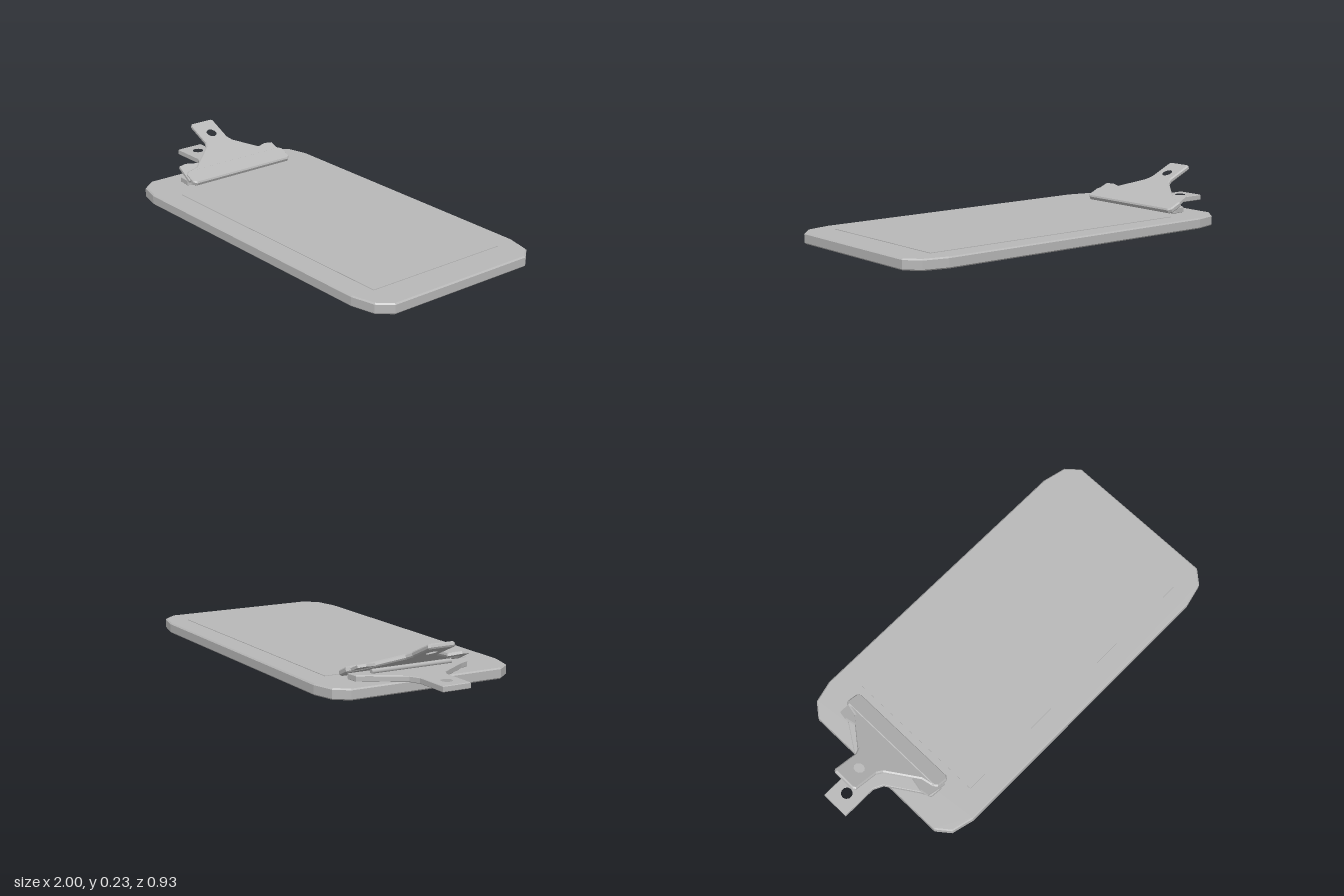
import * as THREE from 'three';

const grey = new THREE.MeshStandardMaterial({ color: 0xb8b8b8 });
grey.name = 'plain grey';

// Symmetric outline from one side's [x, z] points, with an optional round hole
function outline(half, hole) {
  const pts = [...half, ...half.slice().reverse().map(([x, z]) => [x, -z])];
  const shape = new THREE.Shape(pts.map(([x, z]) => new THREE.Vector2(x, z)));
  if (hole) {
    const path = new THREE.Path();
    path.absarc(hole.x, 0, hole.r, 0, Math.PI * 2, true);
    shape.holes.push(path);
  }
  return shape;
}

// Lay an outline flat with its underside on y = 0
function plate(name, shape, height, bevel = 0) {
  const geo = new THREE.ExtrudeGeometry(shape, {
    depth: height - 2 * bevel, curveSegments: 5,
    bevelEnabled: bevel > 0, bevelThickness: bevel, bevelSize: bevel,
    bevelOffset: -bevel, bevelSegments: 1,
  });
  geo.rotateX(-Math.PI / 2).translate(0, bevel, 0);
  const mesh = new THREE.Mesh(geo, grey);
  mesh.name = name;
  return mesh;
}

export function createModel() {
  const model = new THREE.Group();
  model.name = 'clipboard';

  // Board with clipped corners
  model.add(plate('board', outline([
    [-0.765, 0.375], [-0.715, 0.438], [-0.61, 0.465],
    [0.83, 0.465], [0.945, 0.438], [1, 0.375],
  ]), 0.05, 0.006));

  // Sheet of paper
  const paper = new THREE.Mesh(new THREE.BoxGeometry(1.37, 0.003, 0.72), grey);
  paper.name = 'paper';
  paper.position.set(0.165, 0.051, 0);
  model.add(paper);

  // Lower clip plate, lying on the board
  const lower = plate('lowerClipPlate', outline([
    [-1, 0.068], [-0.83, 0.068], [-0.785, 0.09], [-0.69, 0.235],
    [-0.67, 0.28], [-0.61, 0.285], [-0.6, 0.27],
  ], { x: -0.925, r: 0.03 }), 0.027, 0.003);
  lower.position.set(0, 0.049, -0.017);
  model.add(lower);

  // Upper clip plate, tilted up towards the tab
  const lever = new THREE.Group();
  lever.name = 'upperClip';
  lever.position.set(-0.567, 0.054, -0.03);
  lever.rotation.z = -THREE.MathUtils.degToRad(24.5);
  model.add(lever);
  lever.add(plate('upperClipPlate', outline([
    [-0.385, 0.055], [-0.375, 0.066], [-0.245, 0.066], [-0.215, 0.08],
    [-0.1, 0.215], [-0.085, 0.275], [-0.07, 0.288], [-0.015, 0.288], [0, 0.275],
  ], { x: -0.29, r: 0.032 }), 0.023, 0.006));

  // Jaw lip along the gripping edge
  const lip = plate('jawLip', outline([
    [-0.085, 0.275], [-0.07, 0.29], [-0.01, 0.29], [0.003, 0.275],
  ]), 0.026, 0.006);
  lever.add(lip);

  // Side ears beside the shoulders
  for (const side of [1, -1]) {
    const pts = [[-0.03, 0.29], [-0.135, 0.28], [-0.142, 0.24], [-0.115, 0.13], [-0.03, 0.13]];
    const shape = new THREE.Shape(pts.map(([x, z]) => new THREE.Vector2(x, z * side)));
    const ear = plate(side > 0 ? 'rightEar' : 'leftEar', shape, 0.012);
    ear.position.set(0, 0.003, 0.01);
    lever.add(ear);
  }

  // Hinge rod between the two plates
  const rod = new THREE.Mesh(new THREE.CylinderGeometry(0.011, 0.011, 0.4, 8), grey);
  rod.name = 'hingeRod';
  rod.rotation.x = Math.PI / 2;
  rod.position.set(-0.665, 0.084, -0.02);
  model.add(rod);

  return model;
}
